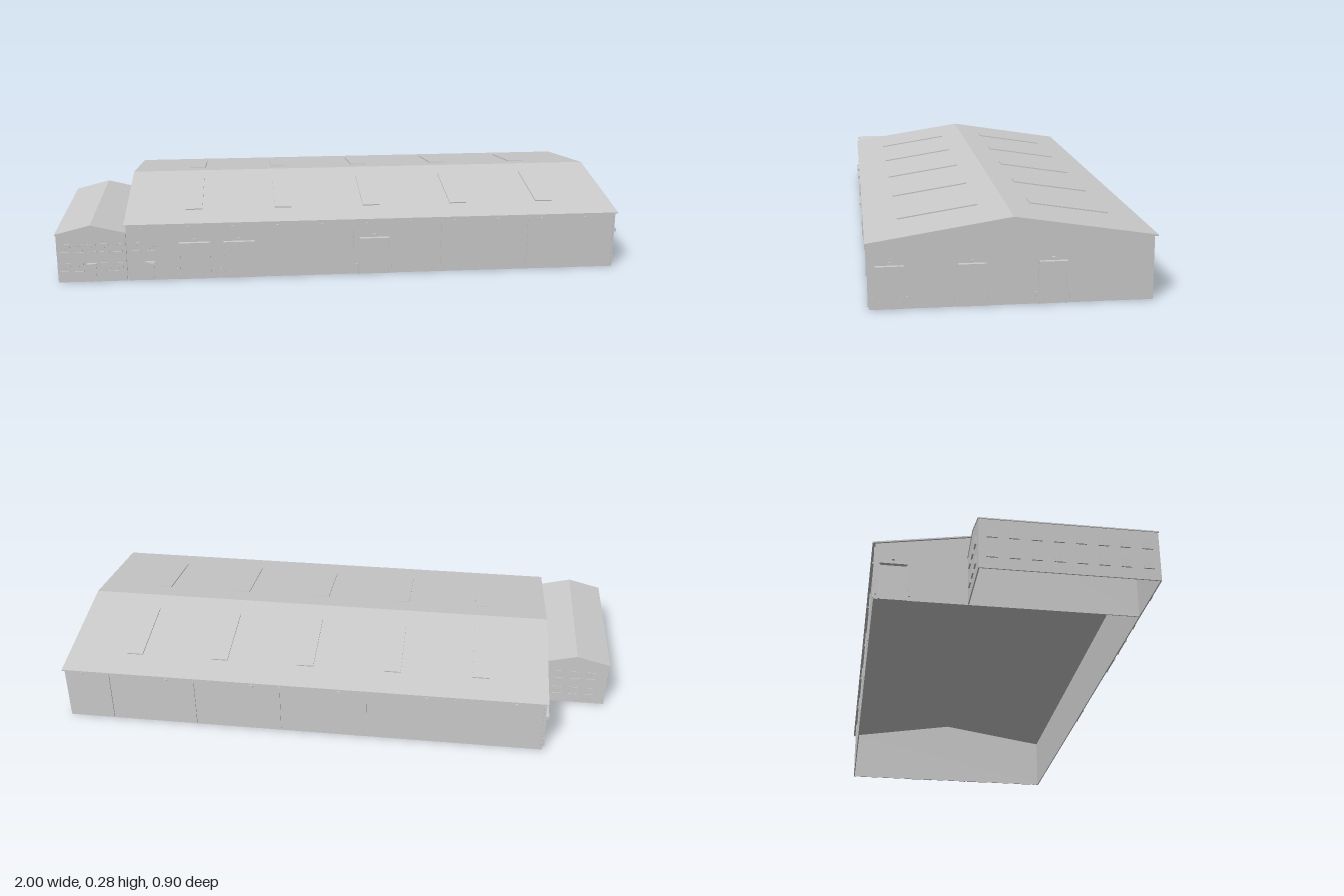
import * as THREE from 'three';

const grey = new THREE.MeshStandardMaterial({ color: 0xcccccc, side: THREE.DoubleSide });
grey.name = 'light grey';

function add(parent, name, geometry, x = 0, y = 0, z = 0) {
  const mesh = new THREE.Mesh(geometry, grey);
  mesh.name = name;
  mesh.position.set(x, y, z);
  parent.add(mesh);
  return mesh;
}

const box = (parent, name, w, h, d, x, y, z) =>
  add(parent, name, new THREE.BoxGeometry(w, h, d), x, y, z);

function slab(points, depth) {
  const shape = new THREE.Shape(points.map(([x, y]) => new THREE.Vector2(x, y)));
  return new THREE.ExtrudeGeometry(shape, { depth, bevelEnabled: false });
}

// Open-bottomed gabled shell with its ridge along local z
function gabledShell(name, o) {
  const g = new THREE.Group();
  g.name = name;
  const { half: w, length: l, eave, ridge, over, overEnd, thick: t } = o;
  const slope = (ridge - eave) / (w + over);
  const inner = ridge - t - slope * w;
  const gable = [[-w, 0], [w, 0], [w, inner], [0, ridge - t], [-w, inner]];
  add(g, 'gableWall', slab(gable, 0.004), 0, 0, l / 2 - 0.004);
  add(g, 'gableWall', slab(gable, 0.004), 0, 0, -l / 2);
  for (const s of o.sides) {
    box(g, 'sideWall', 0.004, inner, l - 0.008, s * (w - 0.002), inner / 2, 0);
  }
  const e = w + over;
  const roof = [[-e, eave - t], [0, ridge - t], [e, eave - t], [e, eave], [0, ridge], [-e, eave]];
  add(g, 'roof', slab(roof, l + 2 * overEnd), 0, 0, -l / 2 - overEnd);
  return g;
}

// Group lying on a wall: local x runs along it, local z points outwards
function wallGroup(parent, name, x, z, turn) {
  const g = new THREE.Group();
  g.name = name;
  g.position.set(x, 0, z);
  g.rotation.y = turn;
  parent.add(g);
  return g;
}

// Loading door with frame, canopy, lamp and guard posts
function loadingDoor(wall, x, width) {
  const d = new THREE.Group();
  d.name = 'loadingDoor';
  d.position.x = x;
  wall.add(d);
  box(d, 'doorPanel', width - 0.006, 0.122, 0.002, 0, 0.061, 0.001);
  for (const s of [-1, 1]) {
    box(d, 'doorFrame', 0.004, 0.126, 0.005, s * (width / 2 - 0.001), 0.063, 0.0025);
    box(d, 'guardPost', 0.004, 0.026, 0.006, s * (width / 2 + 0.009), 0.027, 0.005);
  }
  box(d, 'canopy', width, 0.011, 0.014, 0, 0.131, 0.007);
  box(d, 'lamp', 0.01, 0.003, 0.007, 0, 0.147, 0.0035);
}

function windowPlate(wall, x, y) {
  box(wall, 'windowPane', 0.03, 0.028, 0.002, x, y, 0.001);
  box(wall, 'windowSill', 0.034, 0.003, 0.005, x, y - 0.0155, 0.0025);
  box(wall, 'windowMullion', 0.002, 0.028, 0.003, x, y, 0.0015);
}

export function createModel() {
  const model = new THREE.Group();
  model.name = 'warehouse';
  const left = -0.755, right = 0.984, front = 0.434, back = -0.44, midZ = -0.003;

  // Main hall, ridge along x
  const hall = gabledShell('mainHall', {
    half: 0.437, length: right - left, eave: 0.207, ridge: 0.277,
    over: 0.01, overEnd: 0.006, thick: 0.005, sides: [-1, 1],
  });
  hall.rotation.y = Math.PI / 2;
  hall.position.set((left + right) / 2, 0, midZ);
  model.add(hall);

  // Office annex, ridge along z, open towards the hall
  const annex = gabledShell('annex', {
    half: 0.119, length: 0.571, eave: 0.176, ridge: 0.207,
    over: 0.004, overEnd: 0.002, thick: 0.004, sides: [-1],
  });
  annex.position.set(-0.876, 0, 0.1485);
  model.add(annex);

  // Skylights on both roof slopes
  const tilt = Math.atan(0.07 / 0.447);
  for (const x of [-0.522, -0.205, 0.112, 0.429, 0.746]) {
    for (const s of [-1, 1]) {
      const sky = box(model, 'skylight', 0.06, 0.006, 0.26,
        x, 0.277 - 0.212 * Math.tan(tilt) + 0.001, midZ + s * 0.212);
      sky.rotation.x = s * tilt;
    }
  }

  // Wall frames
  const frontWall = wallGroup(model, 'frontDetails', 0, front, 0);
  const backWall = wallGroup(model, 'backDetails', 0, back, Math.PI);
  const rightWall = wallGroup(model, 'endDetails', right, 0, Math.PI / 2);
  const leftWall = wallGroup(model, 'farEndDetails', left, 0, -Math.PI / 2);
  const annexWall = wallGroup(model, 'annexSideDetails', -0.995, 0, -Math.PI / 2);
  const annexBack = wallGroup(model, 'annexBackDetails', -0.876, -0.137, Math.PI);

  // Loading doors
  for (const x of [-0.52, -0.365, 0.113]) loadingDoor(frontWall, x, 0.108);
  for (const z of [0.372, 0.123, -0.125]) loadingDoor(rightWall, -z, 0.087);
  loadingDoor(leftWall, -0.38, 0.09);

  // Entrance doors with small canopies
  for (const x of [-0.876, -0.676]) {
    box(frontWall, 'entranceDoor', 0.026, 0.06, 0.002, x, 0.03, 0.001);
    box(frontWall, 'entranceCanopy', 0.034, 0.003, 0.014, x, 0.068, 0.007);
  }

  // Downpipes and eaves lamps on the long walls
  for (let i = 0; i < 6; i++) {
    const x = -0.75 + i * 0.314;
    box(backWall, 'downpipe', 0.005, 0.185, 0.004, -x, 0.1, 0.002);
    box(backWall, 'eavesLamp', 0.009, 0.006, 0.006, -x - 0.1, 0.19, 0.003);
  }
  for (const x of [0.04, 0.354, 0.667, 0.98]) {
    box(frontWall, 'downpipe', 0.005, 0.185, 0.004, x, 0.1, 0.002);
  }
  for (let x = -0.7; x < 0.98; x += 0.157) {
    box(frontWall, 'eavesLamp', 0.009, 0.006, 0.006, x, 0.19, 0.003);
  }

  // Two storeys of annex windows
  for (const y of [0.055, 0.125]) {
    for (let i = 0; i < 8; i++) windowPlate(annexWall, -0.095 + i * 0.07, y);
    for (const x of [-0.06, 0.0, 0.06]) windowPlate(annexBack, x, y);
    for (const x of [-0.965, -0.92, -0.83, -0.785]) windowPlate(frontWall, x, y);
  }
  for (const x of [-0.876, -0.72, -0.676]) windowPlate(frontWall, x, 0.125);

  return model;
}
